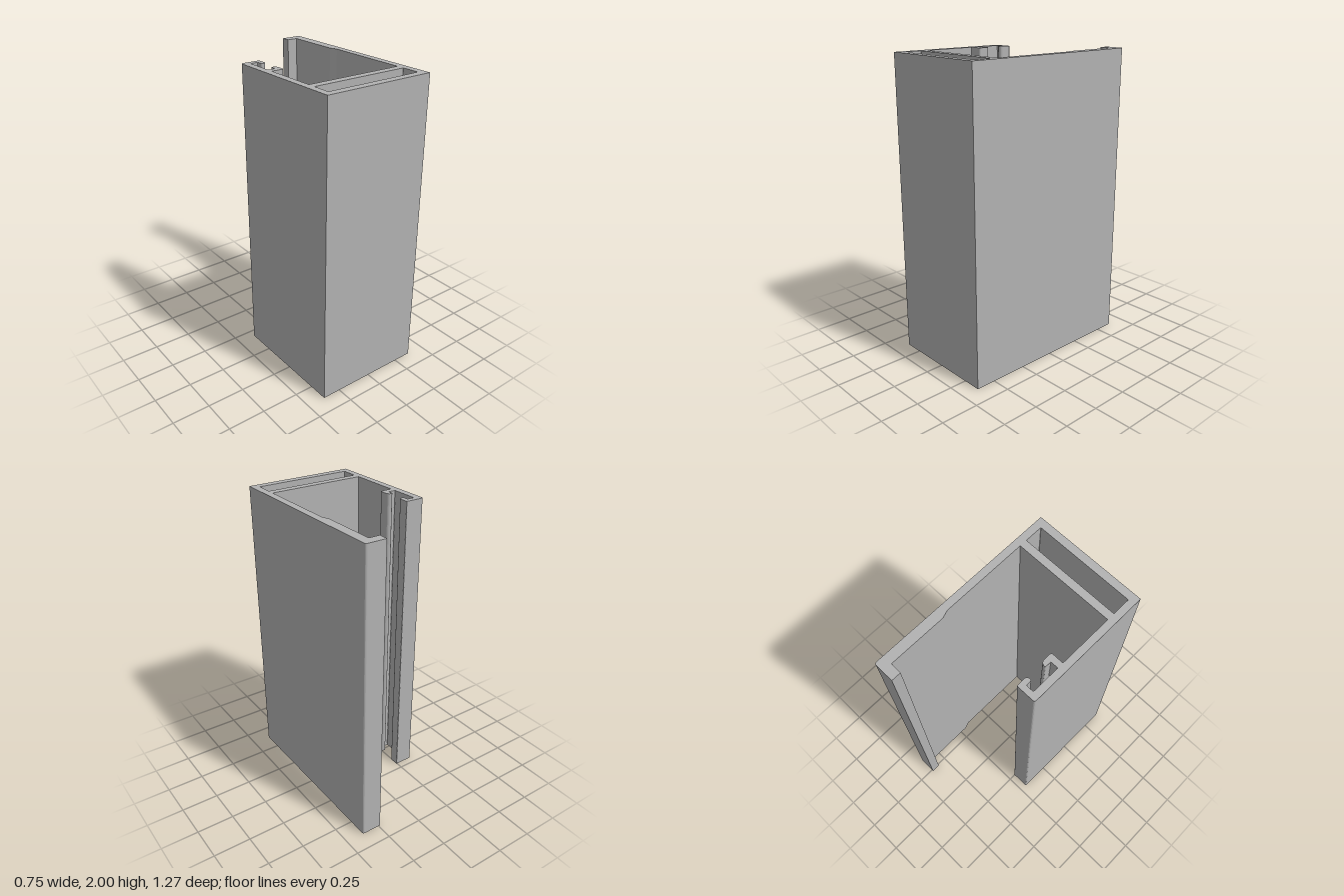
import * as THREE from 'three';

// Trace a closed outline of [x, z, cornerRadius] points, rounding corners where a radius is given
function trace(path, points) {
  const n = points.length;
  const vec = (p) => new THREE.Vector2(p[0], -p[1]);
  points.forEach((p, i) => {
    const corner = vec(p);
    const r = p[2] || 0;
    const toward = (q) => vec(q).sub(corner).normalize().multiplyScalar(r).add(corner);
    const a = toward(points[(i + n - 1) % n]);
    const b = toward(points[(i + 1) % n]);
    if (i === 0) path.moveTo(a.x, a.y);
    else path.lineTo(a.x, a.y);
    if (r) path.quadraticCurveTo(corner.x, corner.y, b.x, b.y);
  });
  path.closePath();
  return path;
}

export function createModel() {
  const group = new THREE.Group();
  group.name = 'extrudedChannel';
  const aluminium = new THREE.MeshStandardMaterial({ color: 0xb2b2b2 });
  aluminium.name = 'aluminium grey';

  // Cross-section seen from above
  const section = trace(new THREE.Shape(), [
    // outer front corners and tall wall with its hooked end
    [-0.375, 0.635], [0.375, 0.635],
    [0.375, -0.635, 0.016], [0.238, -0.635], [0.238, -0.573], [0.31, -0.573],
    // step in wall thickness
    [0.31, -0.2], [0.327, -0.15],
    // inner floor of the channel
    [0.327, 0.416], [-0.33, 0.416],
    // lower lip of the slot
    [-0.33, 0.062], [-0.246, 0.062, 0.012], [-0.246, -0.018, 0.026],
    [-0.28, -0.02, 0.01], [-0.28, 0.022, 0.006], [-0.33, 0.022, 0.006],
    // upper lip of the slot
    [-0.33, -0.163, 0.006], [-0.28, -0.163, 0.006], [-0.28, -0.123, 0.01],
    [-0.246, -0.123, 0.023], [-0.246, -0.2, 0.006], [-0.375, -0.2, 0.014],
  ]);

  // Closed chamber behind the front face
  section.holes.push(trace(new THREE.Path(), [
    [-0.33, 0.466, 0.004], [-0.33, 0.584, 0.004], [0.327, 0.584, 0.004], [0.327, 0.466, 0.004],
  ]));

  const geometry = new THREE.ExtrudeGeometry(section, { depth: 2, bevelEnabled: false, curveSegments: 6 });
  geometry.rotateX(-Math.PI / 2);
  const profile = new THREE.Mesh(geometry, aluminium);
  profile.name = 'channelProfile';
  group.add(profile);
  return group;
}
